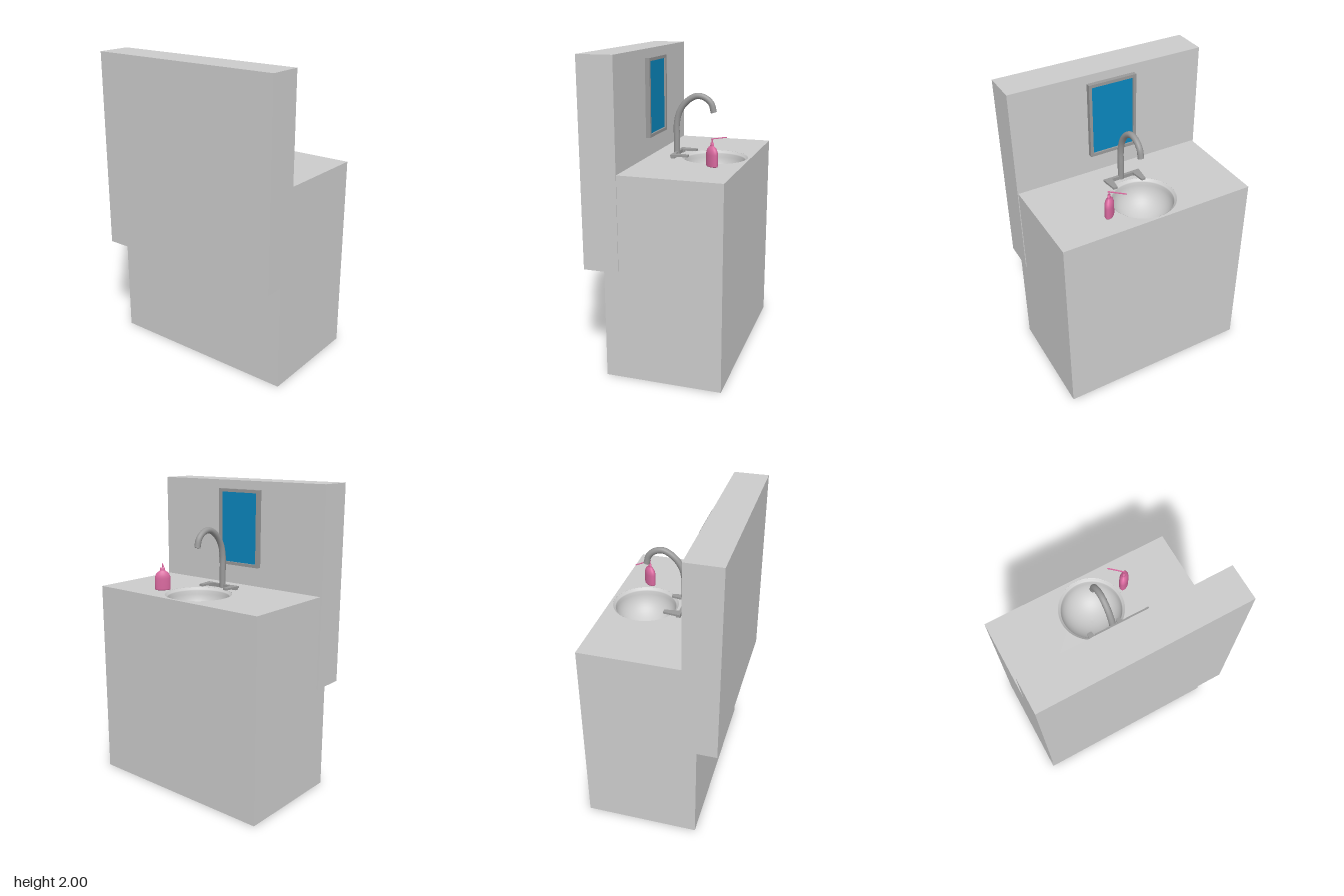
import * as THREE from 'three';

const grey = new THREE.MeshStandardMaterial({ color: 0xcccccc });
const bowlGrey = new THREE.MeshStandardMaterial({ color: 0xcccccc, side: THREE.DoubleSide });
const metal = new THREE.MeshStandardMaterial({ color: 0x999999 });
const glass = new THREE.MeshStandardMaterial({ color: 0x0a86bd });
const pink = new THREE.MeshStandardMaterial({ color: 0xd9699f, side: THREE.DoubleSide });

function add(parent, name, geometry, material, x = 0, y = 0, z = 0) {
  const mesh = new THREE.Mesh(geometry, material);
  mesh.name = name;
  mesh.position.set(x, y, z);
  parent.add(mesh);
  return mesh;
}

// Box given by its lower and upper corners
function block(parent, name, material, [x0, y0, z0], [x1, y1, z1]) {
  return add(parent, name, new THREE.BoxGeometry(x1 - x0, y1 - y0, z1 - z0), material,
    (x0 + x1) / 2, (y0 + y1) / 2, (z0 + z1) / 2);
}

// Flat plate drawn in plan as [x, z] corners, extruded upwards from y
function plate(parent, name, material, corners, y, height, hole) {
  const shape = new THREE.Shape(corners.map(([x, z]) => new THREE.Vector2(x, -z)));
  if (hole) shape.holes.push(new THREE.Path().absarc(hole.x, -hole.z, hole.r, 0, Math.PI * 2, true));
  const geometry = new THREE.ExtrudeGeometry(shape, { depth: height, bevelEnabled: false, curveSegments: 32 });
  geometry.rotateX(-Math.PI / 2);
  return add(parent, name, geometry, material, 0, y, 0);
}

const lathe = (points, segments) =>
  new THREE.LatheGeometry(points.map(([r, y]) => new THREE.Vector2(r, y)), segments);

export function createModel() {
  const model = new THREE.Group();
  model.name = 'washstand';
  const top = 1.31;
  const basin = { x: -0.005, z: -0.205, r: 0.215 };

  // Cabinet with a counter cut out for the basin, and the wall panel behind it
  block(model, 'cabinet', grey, [-0.65, 0, -0.437], [0.655, 1.08, 0.307]);
  plate(model, 'counter', grey,
    [[-0.65, 0.307], [0.655, 0.307], [0.655, -0.437], [-0.65, -0.437]], 1.08, top - 1.08, basin);
  block(model, 'wallPanel', grey, [-0.66, 0.7, 0.212], [0.66, 2, 0.44]);

  // Basin: rolled lip, then a round bowl
  const profile = [[0.216, top], [0.21, top - 0.004], [0.205, top - 0.012], [0.2, top - 0.014], [0.196, top - 0.02]];
  for (let i = 1; i <= 12; i++) {
    const a = (i / 12) * Math.PI / 2;
    profile.push([0.196 * Math.cos(a), top - 0.02 - 0.18 * Math.sin(a)]);
  }
  add(model, 'basin', lathe(profile, 48), bowlGrey, basin.x, 0, basin.z);

  // Tap: swan-neck spout on a bar with two tapered handles
  const tap = new THREE.Group();
  tap.name = 'tap';
  model.add(tap);
  const tx = 0.008;
  const path = new THREE.CatmullRomCurve3([
    [1.31, 0.05], [1.42, 0.05], [1.52, 0.05], [1.6, 0.03], [1.665, -0.018], [1.702, -0.085],
    [1.692, -0.14], [1.655, -0.182], [1.6, -0.198],
  ].map(([y, z]) => new THREE.Vector3(tx, y, z)));
  add(tap, 'spout', new THREE.TubeGeometry(path, 40, 0.02, 14), metal);
  const tip = add(tap, 'spoutTip', new THREE.CircleGeometry(0.02, 14), metal);
  tip.position.copy(path.getPointAt(1));
  tip.lookAt(path.getPointAt(1).add(path.getTangentAt(1)));
  block(tap, 'tapBar', metal, [-0.1, top, 0.037], [0.11, top + 0.024, 0.056]);
  for (const s of [-1, 1]) {
    const corners = [[0.13, 0.056], [0.117, -0.058], [0.088, -0.058], [0.075, 0.037], [0.075, 0.056]];
    plate(tap, s < 0 ? 'rightHandle' : 'leftHandle', metal,
      corners.map(([x, z]) => [0.003 + s * x, z]), top + 0.012, 0.013);
    block(tap, 'handleFoot', metal,
      [0.003 + s * 0.1 - 0.02, top, 0.03], [0.003 + s * 0.1 + 0.02, top + 0.014, 0.056]);
  }

  // Mirror: frame with a recessed pane
  const mirror = new THREE.Group();
  mirror.name = 'mirror';
  mirror.position.set(-0.014, 1.692, 0);
  model.add(mirror);
  const w = 0.165, h = 0.252, t = 0.02;
  for (const s of [-1, 1]) {
    add(mirror, 'frameSide', new THREE.BoxGeometry(t, 2 * h, 0.03), metal, s * (w - t / 2), 0, 0.197);
    add(mirror, 'frameRail', new THREE.BoxGeometry(2 * (w - t), t, 0.03), metal, 0, s * (h - t / 2), 0.197);
  }
  add(mirror, 'pane', new THREE.BoxGeometry(2 * (w - t), 2 * (h - t), 0.018), glass, 0, 0, 0.203);

  // Soap bottle: oval body with a pump
  const bottle = new THREE.Group();
  bottle.name = 'soapBottle';
  bottle.position.set(0.26, top, -0.258);
  bottle.rotation.y = 0.84;
  model.add(bottle);
  const body = add(bottle, 'bottleBody', lathe([
    [0, 0], [0.048, 0], [0.051, 0.006], [0.051, 0.075], [0.049, 0.09], [0.042, 0.106],
    [0.03, 0.118], [0.019, 0.125], [0.016, 0.13], [0.016, 0.146], [0, 0.148],
  ], 28), pink);
  body.scale.z = 0.55;
  add(bottle, 'pumpStem', new THREE.CylinderGeometry(0.004, 0.005, 0.03, 10), pink, 0, 0.157, 0);
  add(bottle, 'pumpNozzle', new THREE.BoxGeometry(0.007, 0.005, 0.115), pink, 0, 0.17, -0.05);

  return model;
}
